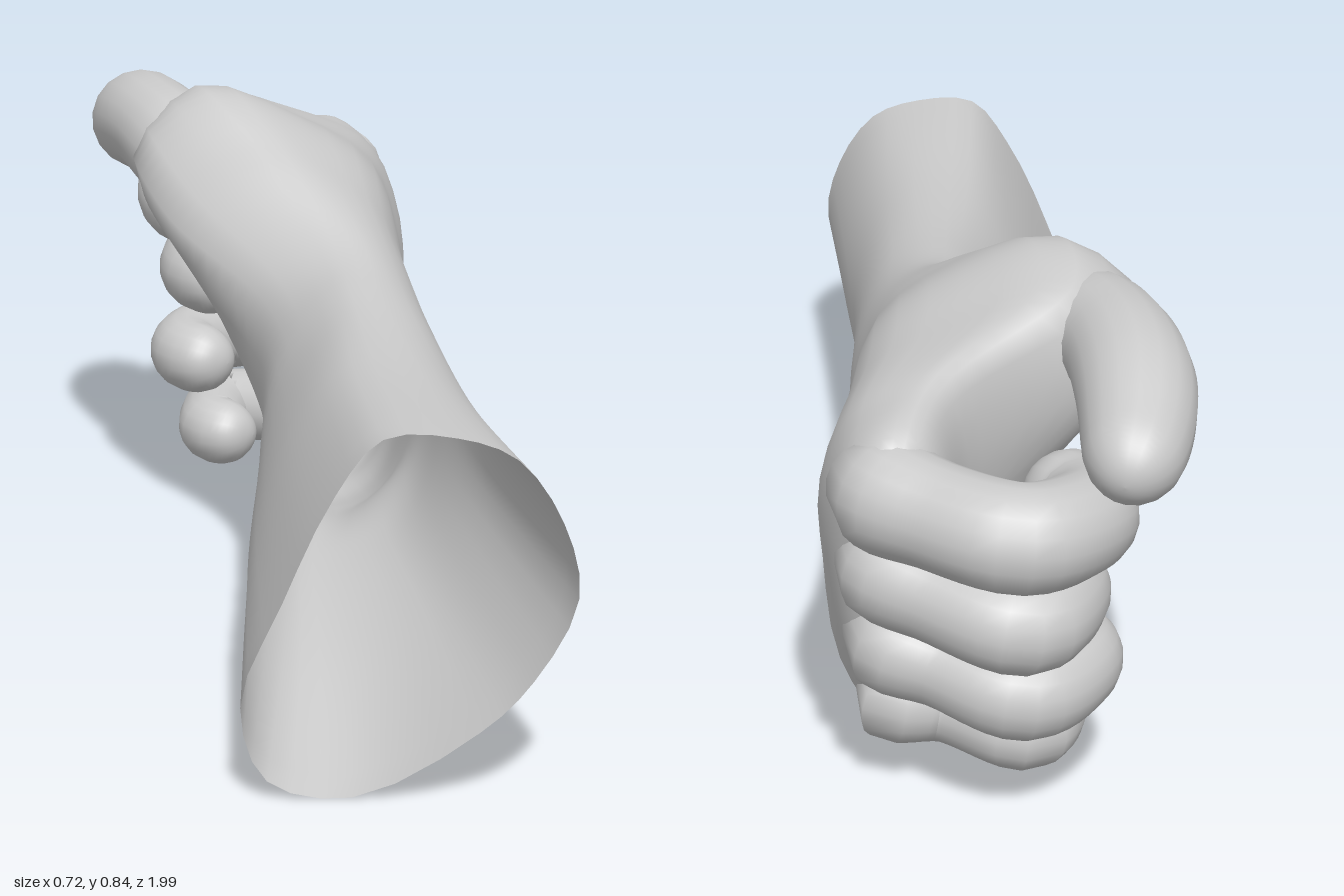
import * as THREE from 'three';

const V = (x, y, z) => new THREE.Vector3(x, y, z);

// Skin a grid of closed rings (rows of Vector3), with shared vertices for smooth normals
function skin(rows) {
  const n = rows[0].length, idx = [];
  for (let i = 0; i < rows.length - 1; i++)
    for (let j = 0; j < n; j++) {
      const k = (j + 1) % n;
      const a = i * n + j, b = i * n + k, c = (i + 1) * n + k, d = (i + 1) * n + j;
      idx.push(a, b, d, b, c, d);
    }
  const g = new THREE.BufferGeometry().setFromPoints(rows.flat());
  g.setIndex(idx);
  g.computeVertexNormals();
  return g;
}

// Cross-sections: z, slant of z with height, then 12 x,y pairs clockwise from the top
const forearmSections = [
  [0.99, 0, .06, .585, .17, .585, .26, .55, .33, .45, .355, .33, .29, .2, .21, .12, .02, 0, -.11, .03, -.15, .15, -.09, .33, -.01, .5],
  [0.55, 0, .05, .57, .15, .575, .22, .53, .27, .44, .285, .33, .235, .22, .17, .15, .03, .085, -.06, .1, -.12, .2, -.09, .35, -.02, .5],
  [0.2, 0, .05, .59, .12, .6, .19, .56, .235, .46, .235, .34, .2, .23, .14, .16, .03, .12, -.03, .14, -.08, .24, -.075, .37, -.03, .5],
  [0, 0, .03, .63, .11, .635, .18, .58, .225, .47, .23, .35, .2, .24, .14, .17, .06, .12, 0, .14, -.05, .25, -.075, .38, -.07, .54],
];
const palmSections = [
  [-.2, 0, -.06, .755, .06, .72, .16, .64, .21, .5, .23, .36, .21, .22, .16, .12, .08, .08, 0, .12, -.05, .27, -.14, .46, -.22, .63],
  [-.36, 0, -.15, .835, .02, .78, .16, .68, .21, .52, .23, .36, .21, .19, .16, .08, .08, .045, -.01, .1, -.05, .28, -.17, .5, -.285, .71],
  [-.5, .08, -.16, .81, .02, .76, .16, .68, .215, .53, .23, .37, .21, .18, .15, .07, .07, .04, 0, .1, -.03, .27, -.12, .48, -.25, .67],
  [-.66, .2, .03, .72, .1, .71, .18, .66, .23, .53, .23, .38, .21, .18, .15, .07, .08, .04, .03, .1, .01, .25, 0, .42, -.01, .6],
  [-.81, .31, .07, .66, .12, .67, .17, .62, .19, .53, .19, .4, .17, .22, .13, .11, .09, .08, .05, .12, .03, .25, .02, .42, .03, .59],
];

// Forearm and palm as one smooth loft, open at the elbow end
function armGeometry() {
  const around = 36, along = 60;
  const rings = [...forearmSections, ...palmSections].map(([z, slant, ...xy], r) => {
    const pts = [];
    for (let k = 0; k < 12; k++) {
      const dip = r === 0 && k >= 7 && k <= 9 ? -.045 : 0; // uneven cut edge
      const y = xy[2 * k + 1];
      pts.push(V(xy[2 * k], y, z + slant * (.6 - y) + dip));
    }
    const loop = new THREE.CatmullRomCurve3(pts, true);
    return Array.from({ length: around }, (_, j) => loop.getPoint(j / around));
  });
  // close the slanted knuckle end
  const mid = V(.11, .4, -.75);
  rings.push(rings[rings.length - 1].map(p => p.clone().lerp(mid, .95).add(V(0, 0, -.03))));
  const lines = Array.from({ length: around }, (_, j) =>
    new THREE.CatmullRomCurve3(rings.map(r => r[j])));
  const rows = [];
  for (let i = 0; i <= along; i++) rows.push(lines.map(l => l.getPoint(i / along)));
  return skin(rows);
}

// Tapered tube with a rounded tip; path entries are [x, y, z, radius]
function digitGeometry(path) {
  const curve = new THREE.CatmullRomCurve3(path.map(p => V(p[0], p[1], p[2])));
  const radii = new THREE.CatmullRomCurve3(path.map(p => V(p[3], 0, 0)), false, 'catmullrom');
  const steps = 40, sides = 18, length = curve.getLength();
  const frames = curve.computeFrenetFrames(200, false);
  const rows = [];
  for (let i = 0; i <= steps; i++) {
    const u = Math.sin((i / steps) * Math.PI / 2);
    const f = Math.round(u * 200);
    const c = curve.getPointAt(u);
    let r = radii.getPoint(curve.getUtoTmapping(u)).x;
    const left = (1 - u) * length;
    if (left < r) r *= Math.sqrt(Math.max(0, 1 - (1 - left / r) ** 2));
    rows.push(Array.from({ length: sides }, (_, j) => {
      const a = (j / sides) * Math.PI * 2;
      return c.clone()
        .addScaledVector(frames.normals[f], r * Math.cos(a))
        .addScaledVector(frames.binormals[f], r * Math.sin(a));
    }));
  }
  return skin(rows);
}

export function createModel() {
  const group = new THREE.Group();
  const material = new THREE.MeshStandardMaterial({ color: 0xcccccc, side: THREE.DoubleSide });
  const add = (name, geometry) => {
    const mesh = new THREE.Mesh(geometry, material);
    mesh.name = name;
    group.add(mesh);
  };

  add('forearmAndPalm', armGeometry());

  // Curled fingers: knuckle, bend and tip heights, bend z, tip x, tip z, radius
  const fingers = [
    ['indexFinger', .59, .575, .54, -.915, -.195, -.64, .084],
    ['middleFinger', .455, .415, .4, -.885, -.16, -.63, .079],
    ['ringFinger', .3, .255, .25, -.815, -.185, -.59, .075],
    ['littleFinger', .16, .13, .125, -.705, -.14, -.52, .07],
  ];
  for (const [name, yKnuckle, yBend, yTip, zBend, xTip, zTip, r] of fingers) {
    const shift = zBend + .915, zKnuckle = -.785 + shift * .6;
    add(name, digitGeometry([
      [.115, yKnuckle, zKnuckle + .06, r * .2],
      [.125, yKnuckle, zKnuckle, r * 1.05],
      [.03, (yKnuckle + yBend) / 2, -.86 + shift, r],
      [-.1, yBend, zBend, r * 1.02],
      [xTip + .005, (yBend + yTip) / 2, zBend + .1, r * .95],
      [xTip + .01, yTip, (zBend + .1 + zTip) / 2, r * .93],
      [xTip + .08, yTip, zTip, r * .85],
    ]));
  }

  // Thumb resting above the index finger, its tip angled down
  add('thumb', digitGeometry([
    [-.12, .64, -.28, .03],
    [-.18, .7, -.41, .095],
    [-.235, .73, -.54, .092],
    [-.265, .718, -.68, .095],
    [-.266, .685, -.8, .085],
    [-.25, .66, -.91, .062],
  ]));

  return group;
}
